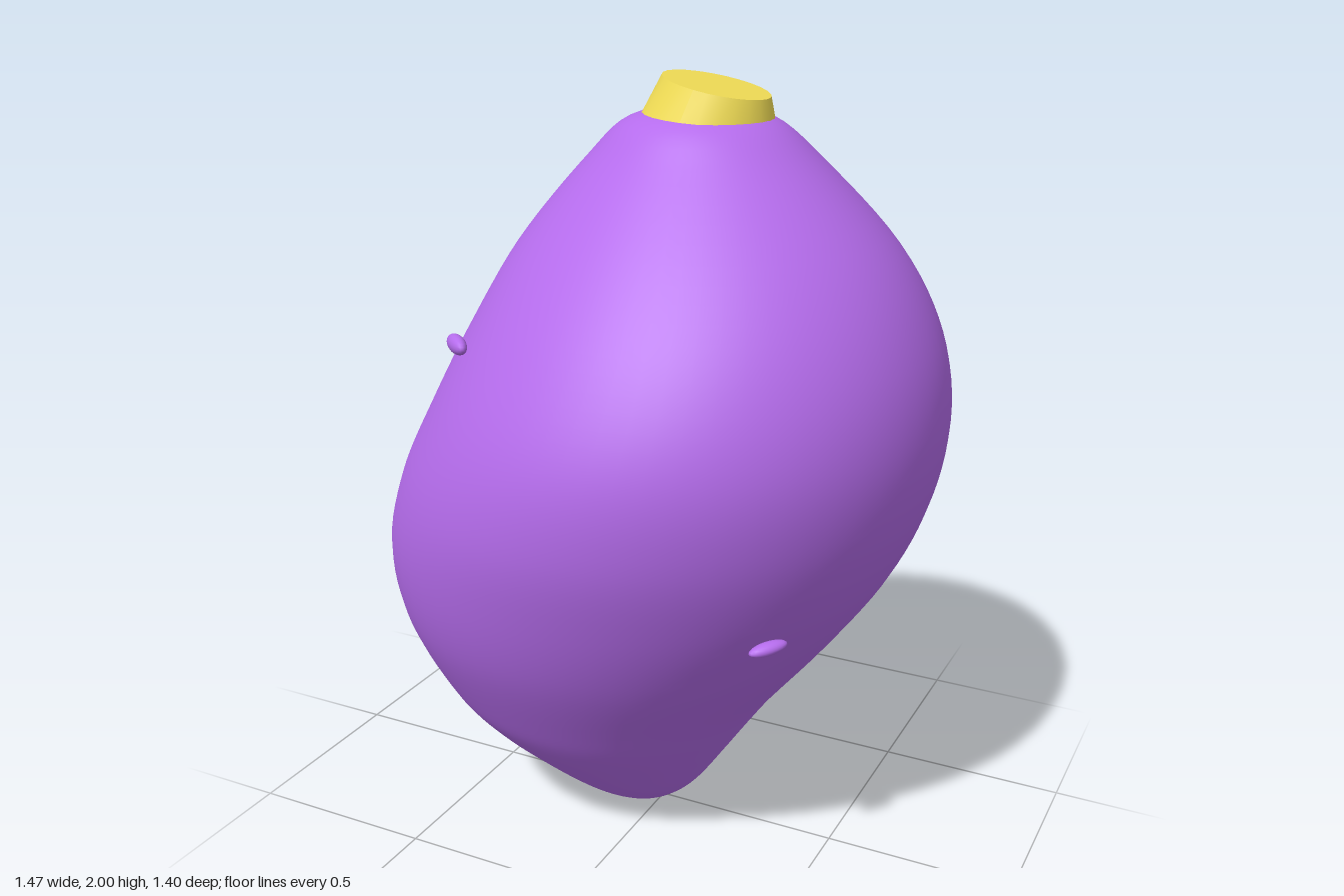
import * as THREE from 'three';

const purple = new THREE.MeshStandardMaterial({ color: 0xb56cec });
const yellow = new THREE.MeshStandardMaterial({ color: 0xf0dc55 });

// Body outline: height, left x, right x, half depth
const SECTIONS = [
  [0, -0.045, -0.045, 0], [0.012, -0.11, 0.01, 0.06], [0.05, -0.2, 0.07, 0.135],
  [0.1, -0.3, 0.12, 0.2], [0.2, -0.435, 0.19, 0.3], [0.3, -0.545, 0.258, 0.39],
  [0.4, -0.625, 0.33, 0.46], [0.6, -0.715, 0.49, 0.575], [0.8, -0.733, 0.625, 0.65],
  [1.0, -0.67, 0.705, 0.695], [1.2, -0.565, 0.73, 0.685], [1.4, -0.46, 0.695, 0.6],
  [1.6, -0.345, 0.59, 0.455], [1.8, -0.18, 0.4, 0.27], [1.9, -0.065, 0.27, 0.16],
  [1.92, 0.11, 0.11, 0],
];

// Smooth loft of elliptical rings through the sections
function bodyGeometry(rows = 84, sides = 64) {
  const smooth = (pick) => new THREE.CatmullRomCurve3(
    SECTIONS.map((s) => new THREE.Vector3(...pick(s))), false, 'catmullrom', 0.5);
  const outline = smooth(([y, l, r]) => [l, y, r]);
  const depth = smooth(([, , , d]) => [d, 0, 0]);
  const pos = [], index = [];
  for (let i = 0; i <= rows; i++) {
    const p = outline.getPoint(i / rows), d = depth.getPoint(i / rows).x;
    const c = (p.x + p.z) / 2, a = (p.z - p.x) / 2;
    for (let j = 0; j < sides; j++) {
      const t = (j / sides) * Math.PI * 2;
      pos.push(c + a * Math.cos(t), p.y, d * Math.sin(t));
      if (i === rows) continue;
      const k = i * sides + j, n = i * sides + ((j + 1) % sides);
      index.push(k, k + sides, n, n, k + sides, n + sides);
    }
  }
  const g = new THREE.BufferGeometry();
  g.setAttribute('position', new THREE.Float32BufferAttribute(pos, 3));
  g.setIndex(index);
  g.computeVertexNormals();
  return g;
}

// Tapered stub whose top slopes down towards +x
function capGeometry() {
  const g = new THREE.CylinderGeometry(0.13, 0.16, 0.08, 24);
  const p = g.attributes.position;
  for (let i = 0; i < p.count; i++) {
    const x = p.getX(i), top = p.getY(i) > 0;
    p.setX(i, x + (top ? 0.14 : 0.12));
    p.setY(i, top ? 1.972 - 0.21 * x : 1.9 - 0.06 * x);
  }
  g.computeVertexNormals();
  // keep the end discs flat
  return g;
}

export function createModel() {
  const group = new THREE.Group();
  const add = (name, geometry, material) => {
    const mesh = new THREE.Mesh(geometry, material);
    mesh.name = name;
    group.add(mesh);
    return mesh;
  };

  add('body', bodyGeometry(), purple);
  add('cap', capGeometry(), yellow);

  // Small flattened bumps lying along the skin
  const bump = new THREE.SphereGeometry(1, 20, 12);
  const bumps = [
    ['upperBump', [-0.343, 1.383, 0.42], [0.057, 0.023, 0.02], -0.72, 0],
    ['lowerBump', [0.47, 0.748, 0.4], [0.05, 0.016, 0.02], 0.87, 0.12],
  ];
  for (const [name, at, size, yaw, roll] of bumps) {
    const m = add(name, bump, purple);
    m.position.set(...at);
    m.scale.set(...size);
    m.rotation.set(0, yaw, roll);
  }
  return group;
}
